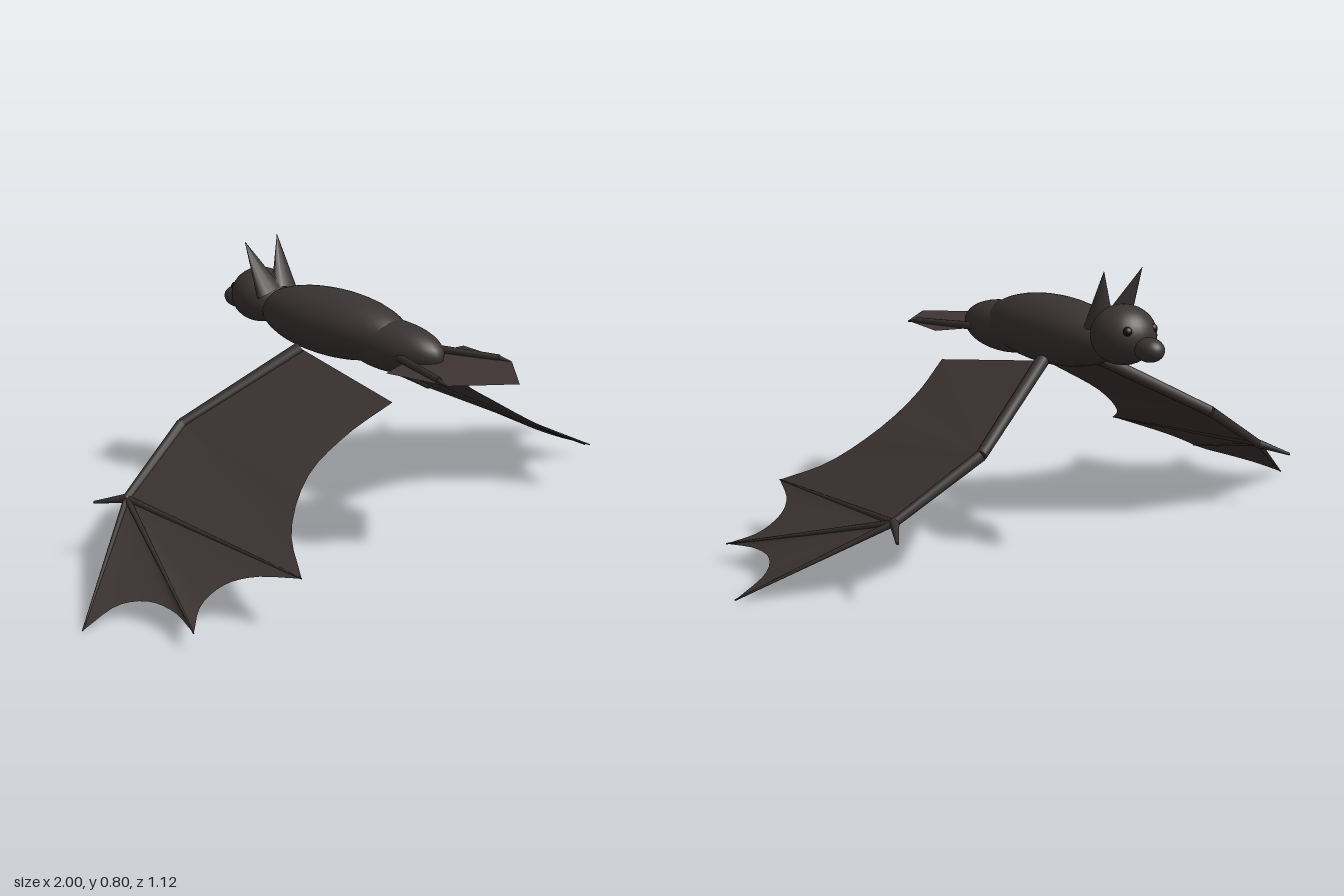
import * as THREE from 'three';

const V = (p) => new THREE.Vector3(...p);

export function createModel() {
  const mat = (name, color, side = THREE.FrontSide) => {
    const m = new THREE.MeshStandardMaterial({ color, side });
    m.name = name;
    return m;
  };
  const fur = mat('fur', 0x3a3333);
  const skin = mat('wing skin', 0x3d3432, THREE.DoubleSide);
  const bone = mat('bone', 0x352e2e);
  const black = mat('eye black', 0x141212);

  const bat = new THREE.Group();
  bat.name = 'bat';

  const add = (parent, name, geo, material) => {
    const mesh = new THREE.Mesh(geo, material);
    mesh.name = name;
    parent.add(mesh);
    return mesh;
  };
  const ellipsoid = (parent, name, pos, size, material = fur) => {
    const m = add(parent, name, new THREE.SphereGeometry(1, 32, 20), material);
    m.position.set(...pos);
    m.scale.set(...size);
    return m;
  };
  // Tapered rod between two points
  const rod = (parent, name, a, b, r0, r1, material = bone) => {
    const from = V(a), dir = V(b).sub(from);
    const m = add(parent, name, new THREE.CylinderGeometry(r1, r0, dir.length(), 10), material);
    m.position.copy(from).addScaledVector(dir, 0.5);
    m.quaternion.setFromUnitVectors(new THREE.Vector3(0, 1, 0), dir.normalize());
    return m;
  };
  // Thin skin fanned from a hub point along a rim
  const fan = (parent, name, hub, rim) => {
    const pts = [];
    for (let i = 0; i < rim.length - 1; i++) pts.push(...hub, ...rim[i], ...rim[i + 1]);
    const g = new THREE.BufferGeometry();
    g.setAttribute('position', new THREE.Float32BufferAttribute(pts, 3));
    g.computeVertexNormals();
    // Keep the lit side facing up
    if (g.attributes.normal.getY(0) < 0) {
      for (let i = 0; i < pts.length; i += 9)
        for (let k = 0; k < 3; k++) [pts[i + 3 + k], pts[i + 6 + k]] = [pts[i + 6 + k], pts[i + 3 + k]];
      g.setAttribute('position', new THREE.Float32BufferAttribute(pts, 3));
      g.computeVertexNormals();
    }
    return add(parent, name, g, skin);
  };
  // Scalloped trailing edge through a few points
  const scallop = (...pts) =>
    new THREE.CatmullRomCurve3(pts.map(V)).getPoints(14).map((p) => p.toArray());

  // Body and head
  ellipsoid(bat, 'chest', [0, 0.602, -0.115], [0.112, 0.098, 0.28]);
  ellipsoid(bat, 'hips', [0, 0.579, 0.11], [0.082, 0.075, 0.18]);
  ellipsoid(bat, 'head', [0, 0.631, -0.417], [0.09, 0.082, 0.091]);
  ellipsoid(bat, 'snout', [0, 0.605, -0.522], [0.037, 0.033, 0.045]);

  for (const s of [1, -1]) {
    const p = (x, y, z) => [s * x, y, z];
    const side = s > 0 ? 'left' : 'right';

    ellipsoid(bat, side + 'Eye', p(0.044, 0.652, -0.483), [0.014, 0.014, 0.014], black);

    // Ear: flattened cone leaning forward and outward
    const ear = rod(bat, side + 'Ear', p(0.032, 0.655, -0.35), p(0.067, 0.806, -0.413), 0.048, 0.0005, fur);
    ear.scale.z = 0.5;

    // Wing joints and finger tips
    const wing = new THREE.Group();
    wing.name = side + 'Wing';
    bat.add(wing);
    const shoulder = p(0.085, 0.53, -0.172), elbow = p(0.41, 0.345, -0.333), wrist = p(0.655, 0.2, -0.295);
    const tip1 = p(0.998, 0.003, -0.072), tip2 = p(0.876, 0.052, 0.22), tip3 = p(0.632, 0.16, 0.36);
    const root = p(0.145, 0.475, 0.238);

    rod(wing, 'upperArm', shoulder, elbow, 0.02, 0.016);
    rod(wing, 'forearm', elbow, wrist, 0.016, 0.012);
    rod(wing, 'thumb', wrist, p(0.702, 0.177, -0.383), 0.013, 0.004);
    [tip1, tip2, tip3].forEach((t, i) => rod(wing, 'finger' + (i + 1), wrist, t, 0.009, 0.002));
    ellipsoid(wing, 'wristJoint', wrist, [0.013, 0.013, 0.013], bone);

    fan(wing, 'innerMembrane', elbow, [shoulder,
      ...scallop(root, p(0.27, 0.4, 0.182), p(0.405, 0.32, 0.168), p(0.54, 0.225, 0.235), tip3), wrist]);
    fan(wing, 'middleMembrane', wrist,
      scallop(tip3, p(0.68, 0.14, 0.233), p(0.73, 0.118, 0.178), p(0.8, 0.085, 0.167), tip2));
    fan(wing, 'outerMembrane', wrist,
      scallop(tip2, p(0.845, 0.062, 0.11), p(0.853, 0.062, 0.015), p(0.9, 0.045, -0.05), tip1));

    // Hind leg with a small foot
    rod(bat, side + 'Leg', p(0.06, 0.574, 0.18), p(0.132, 0.57, 0.39), 0.012, 0.009);
    rod(bat, side + 'Foot', p(0.132, 0.57, 0.385), p(0.141, 0.563, 0.425), 0.007, 0.002);
  }

  // Flat tail membrane
  const y = 0.564;
  fan(bat, 'tailMembrane', [0, y, 0.2], [[-0.1, y, 0.218], [-0.168, y, 0.235], [-0.14, y, 0.428],
    [0, y, 0.558], [0.14, y, 0.428], [0.168, y, 0.235], [0.1, y, 0.218]]);

  return bat;
}
